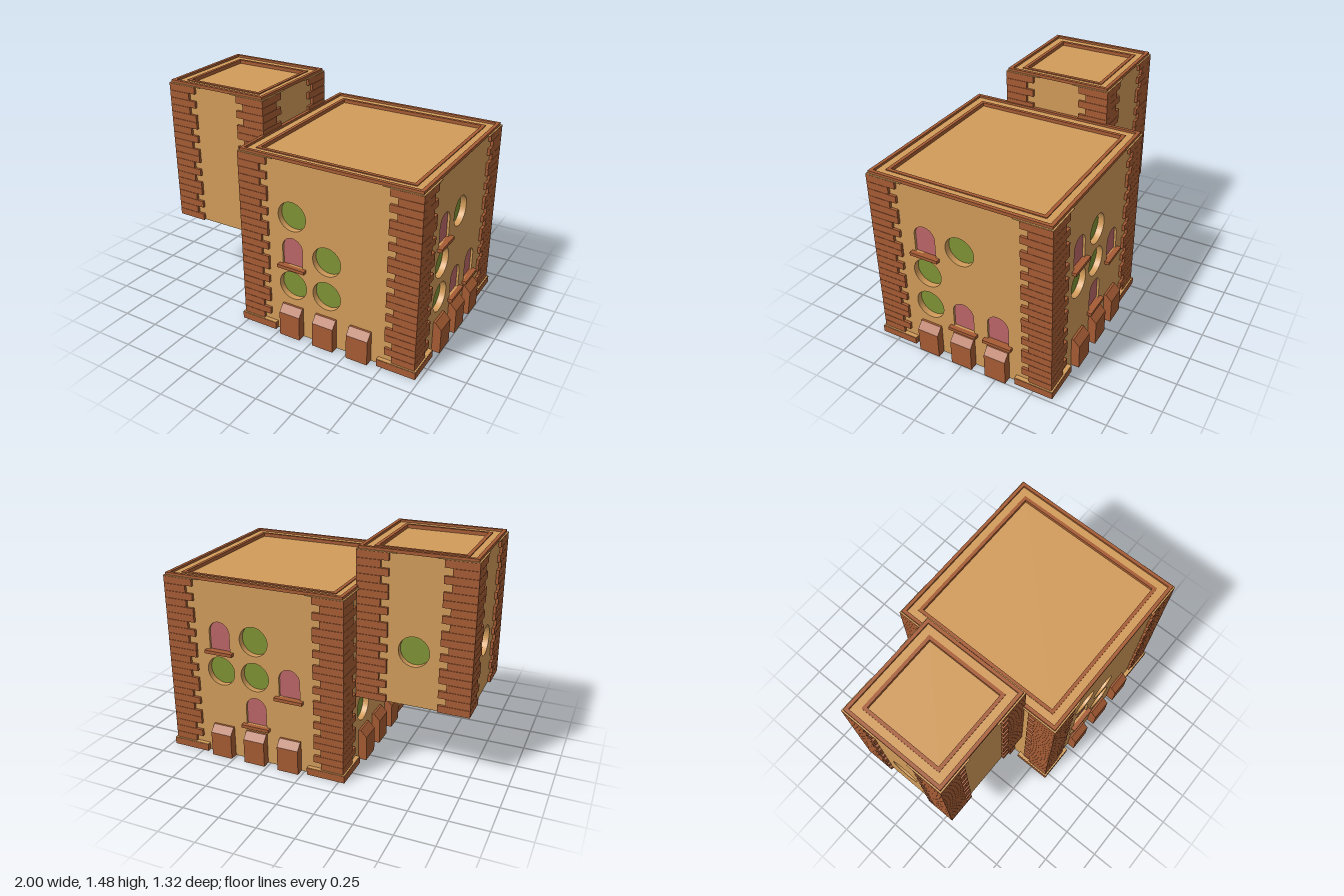
import * as THREE from 'three';
import { mergeGeometries } from 'three/addons/utils/BufferGeometryUtils.js';

const mat = (color) => new THREE.MeshStandardMaterial({ color });
const sand = mat(0xd29c5a), brick = mat(0xa65c34), green = mat(0x7f9335), pink = mat(0xbc6668);
const M = 0.245; // module size

function add(parent, name, geo, material, x = 0, y = 0, z = 0) {
  const m = new THREE.Mesh(geo, material);
  m.name = name;
  m.position.set(x, y, z);
  parent.add(m);
  return m;
}

// box from min/max corners
function span(x0, x1, y0, y1, z0, z1) {
  return new THREE.BoxGeometry(x1 - x0, y1 - y0, z1 - z0)
    .translate((x0 + x1) / 2, (y0 + y1) / 2, (z0 + z1) / 2);
}

// window outline centred on a module: round ('O') or arched ('A')
function outline(path, type, u, y) {
  if (type === 'O') {
    path.absarc(u, y, 0.099, 0, Math.PI * 2, false);
  } else {
    path.moveTo(u - 0.073, y - 0.1);
    path.lineTo(u + 0.073, y - 0.1);
    path.lineTo(u + 0.073, y + 0.022);
    path.absarc(u, y + 0.022, 0.073, 0, Math.PI, false);
    path.closePath();
  }
  return path;
}

// flat wall with window openings, panes and sills, facing local +z
function wallFace(side, half, y0, y1, windows) {
  const shape = new THREE.Shape([[-half, y0], [half, y0], [half, y1], [-half, y1]]
    .map(([a, b]) => new THREE.Vector2(a, b)));
  for (const [type, col, row] of windows) {
    const u = col * M, y = (row + 0.5) * M - 0.005;
    shape.holes.push(outline(new THREE.Path(), type, u, y));
    const pane = new THREE.ShapeGeometry(outline(new THREE.Shape(), type, u, y), 24);
    if (type === 'O') {
      add(side, 'roundWindow', pane, green, 0, 0, half - 0.04);
    } else {
      add(side, 'archedWindow', pane, pink, 0, 0, half - 0.015);
      add(side, 'windowSill', span(u - 0.098, u + 0.098, y - 0.122, y - 0.1, half - 0.02, half + 0.03), brick);
    }
  }
  const geo = new THREE.ExtrudeGeometry(shape, { depth: 0.05, bevelEnabled: false, curveSegments: 24 });
  add(side, 'wall', geo, sand, 0, 0, half - 0.05);
}

// toothed brick corners at both ends of a wall
function quoins(side, half, y0, y1, rows, plinth) {
  const out = half + 0.018, step = (y1 - y0) / rows, parts = [], caps = [];
  const bar = (list, s, len, a, b, o) => {
    const ends = [s * (out - len), s * o].sort((p, q) => p - q);
    list.push(span(ends[0], ends[1], a, b, half - 0.01, o));
  };
  for (const s of [-1, 1]) {
    bar(parts, s, 0.153, y0, y1, out - 0.006);
    for (let i = 0; i < rows; i++) {
      const long = (i % 5) % 2 === 0, y = y0 + i * step;
      if (plinth && i === 0) {
        bar(parts, s, 0.25, y, y + step, out + 0.012);
        bar(caps, s, 0.25, y + step, y + step + 0.003, out + 0.01);
      } else {
        bar(parts, s, long ? 0.205 : 0.155, y + 0.001, y + step - 0.001, out);
      }
    }
    bar(caps, s, 0.25, y1, y1 + 0.004, out);
  }
  add(side, 'cornerBricks', mergeGeometries(parts), brick);
  add(side, 'cornerLedge', mergeGeometries(caps), sand);
}

// square ring used for the roof edge
function ring(parent, name, outer, inner, y0, y1, material) {
  const sq = (P, h) => new P([[-h, -h], [h, -h], [h, h], [-h, h]].map(([a, b]) => new THREE.Vector2(a, b)));
  const shape = sq(THREE.Shape, outer);
  shape.holes.push(sq(THREE.Path, inner));
  const geo = new THREE.ExtrudeGeometry(shape, { depth: y1 - y0, bevelEnabled: false }).rotateX(-Math.PI / 2);
  add(parent, name, geo, material, 0, y0, 0);
}

// footing block with a sloped top, against the wall
function footing(side, u, half) {
  const profile = new THREE.Shape([[0.05, 0], [-0.056, 0], [-0.056, 0.17], [-0.014, 0.215], [0.05, 0.215]]
    .map(([a, b]) => new THREE.Vector2(a, b)));
  const geo = new THREE.ExtrudeGeometry(profile, { depth: 0.148, bevelEnabled: false })
    .translate(0, 0, -0.074).rotateY(Math.PI / 2);
  add(side, 'footingBlock', geo, brick, u, 0, half);
}

function block(name, { x, half, y0, y1, rows, faces, ground }) {
  const g = new THREE.Group();
  g.name = name;
  g.position.x = x;
  const c = half - 0.048;
  add(g, 'core', span(-c, c, y0, y1 - 0.012, -c, c), sand);
  ['front', 'right', 'back', 'left'].forEach((label, k) => {
    const side = new THREE.Group();
    side.name = label + 'Side';
    side.rotation.y = k * Math.PI / 2;
    wallFace(side, half, y0, y1, faces[k]);
    quoins(side, half, y0, y1, rows, ground);
    if (ground) for (const col of [-1, 0, 1]) footing(side, col * M, half);
    g.add(side);
  });
  // stepped roof edge
  ring(g, 'roofEdge', half + 0.008, half - 0.015, y1, y1 + 0.021, brick);
  ring(g, 'roofShelf', half - 0.015, half - 0.065, y1 - 0.01, y1 + 0.006, sand);
  ring(g, 'innerCurb', half - 0.065, half - 0.088, y1 - 0.014, y1 + 0.012, brick);
  return g;
}

export function createModel() {
  const model = new THREE.Group();
  model.name = 'building';
  // windows per face: [type, column, storey row]
  model.add(block('mainBlock', {
    x: 0.342, half: 0.602, y0: 0, y1: 1.215, rows: 25, ground: true,
    faces: [
      [['O', -1, 3], ['A', -1, 2], ['O', -1, 1], ['O', 0, 2], ['O', 0, 1]],
      [['A', -1, 3], ['O', -1, 2], ['O', -1, 1], ['O', 0, 3], ['A', 0, 1], ['A', 1, 1]],
      [['A', -1, 3], ['O', -1, 2], ['O', 0, 3], ['O', 0, 2], ['A', 0, 1], ['A', 1, 2]],
      [['O', -1, 1]],
    ],
  }));
  model.add(block('sideTower', {
    x: -0.627, half: 0.355, y0: 0.487, y1: 1.459, rows: 20, ground: false,
    faces: [[], [], [['O', 0, 3]], [['O', 0, 3]]],
  }));
  // closes the joint between tower and main block
  add(model, 'towerJoint', span(-0.3, -0.24, 0.488, 1.2, -0.35, 0.35), sand);
  return model;
}
